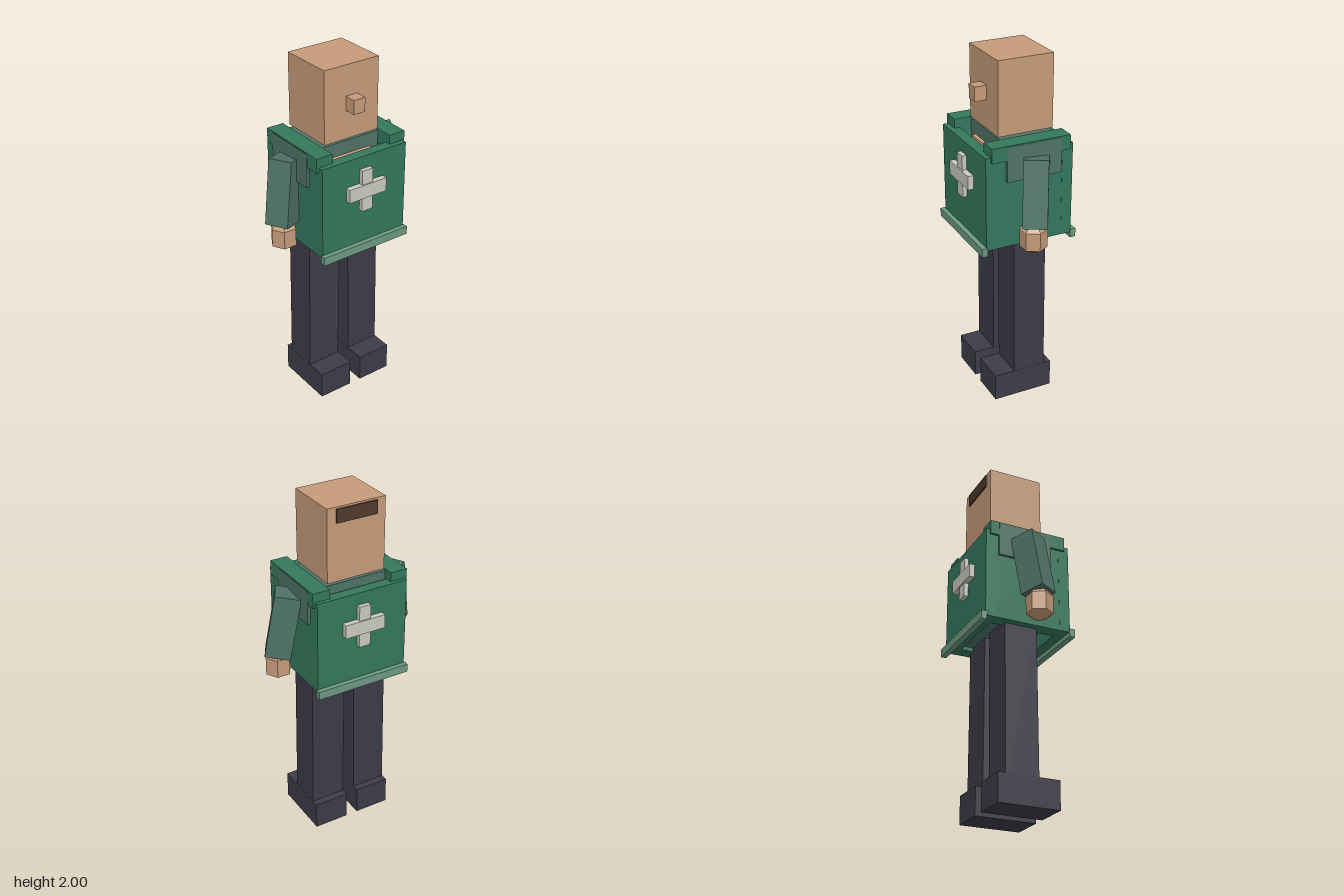
import * as THREE from 'three';

const mat = (name, color) => Object.assign(new THREE.MeshStandardMaterial({ color, flatShading: true }), { name });

export function createModel() {
  const model = new THREE.Group();
  model.name = 'blockyMedic';

  const skin = mat('skin', 0xc69b79);
  const vest = mat('vestGreen', 0x34785d);
  const shirt = mat('shirtGreyGreen', 0x4f7366);
  const trim = mat('paleGreenTrim', 0x6c9981);
  const white = mat('offWhite', 0xcacac0);
  const navy = mat('trouserNavy', 0x3d3c48);
  const brown = mat('darkBrown', 0x503a2d);

  const add = (name, geometry, material) => {
    const mesh = new THREE.Mesh(geometry, material);
    mesh.name = name;
    model.add(mesh);
    return mesh;
  };
  // Box given by its extents along each axis
  const box = (name, material, [x0, x1], [y0, y1], [z0, z1]) => {
    const mesh = add(name, new THREE.BoxGeometry(x1 - x0, y1 - y0, z1 - z0), material);
    mesh.position.set((x0 + x1) / 2, (y0 + y1) / 2, (z0 + z1) / 2);
    return mesh;
  };
  const span = (side, a, b) => (side > 0 ? [a, b] : [-b, -a]);

  // Head
  box('head', skin, [-0.172, 0.172], [1.59, 2], [-0.185, 0.134]);
  box('nose', skin, [-0.036, 0.036], [1.75, 1.83], [0.13, 0.202]);
  box('hairPatch', brown, [-0.12, 0.12], [1.915, 1.99], [-0.194, -0.18]);
  box('neck', skin, [-0.083, 0.083], [1.5, 1.6], [-0.1, 0.06]);
  box('neckBase', skin, [-0.126, 0.126], [1.4, 1.5], [-0.12, 0.148]);

  // Shirt under the vest
  box('torso', shirt, [-0.184, 0.184], [1.02, 1.575], [-0.18, 0.125]);

  // Vest plates with hem and cross, front and back
  for (const s of [1, -1]) {
    const end = s > 0 ? 'Front' : 'Back';
    box(`vest${end}`, vest, [-0.272, 0.272], [1, 1.53], span(s, 0.192, 0.254));
    box(`hem${end}`, trim, [-0.28, 0.28], [0.972, 1.02], span(s, 0.248, 0.281));
    box(`crossUpright${end}`, white, [-0.034, 0.034], [1.22, 1.46], span(s, 0.25, 0.279));
    box(`crossBar${end}`, white, [-0.12, 0.12], [1.3, 1.378], span(s, 0.25, 0.286));
  }

  for (const s of [1, -1]) {
    const side = s > 0 ? 'left' : 'right';
    // Vest side, shoulder strap and armhole
    box(`${side}VestSide`, vest, span(s, 0.19, 0.271), [1, 1.53], [-0.253, 0.253]);
    box(`${side}ShoulderStrap`, vest, span(s, 0.185, 0.285), [1.5, 1.582], [-0.232, 0.224]);
    box(`${side}ArmholeSleeve`, shirt, span(s, 0.19, 0.287), [1.38, 1.576], [-0.18, 0.137]);

    // Sleeve leaning outwards and forwards
    const arm = add(`${side}Arm`, new THREE.BoxGeometry(0.14, 0.367, 0.132), shirt);
    arm.position.set(s * 0.338, 1.322, -0.003);
    arm.rotation.set(0, s * -Math.PI / 6, s * 0.178, 'YXZ');

    // Six-sided fist
    const profile = [[0, 0.98], [0.074, 1.022], [0.074, 1.125], [0.05, 1.155], [0, 1.17]];
    const fist = new THREE.LatheGeometry(profile.map(([r, y]) => new THREE.Vector2(r, y)), 6);
    fist.rotateY(Math.PI / 6);
    add(`${side}Hand`, fist, skin).position.set(s * 0.363, 0, 0.021);

    // Leg and shoe
    const leg = box(`${side}Leg`, navy, span(s, 0.033, 0.235), [0.08, 1.04], [-0.12, 0.07]);
    leg.rotation.z = s * 0.01;
    box(`${side}Shoe`, navy, span(s, 0.036, 0.24), [0, 0.16], [-0.163, 0.19]);
  }
  return model;
}
